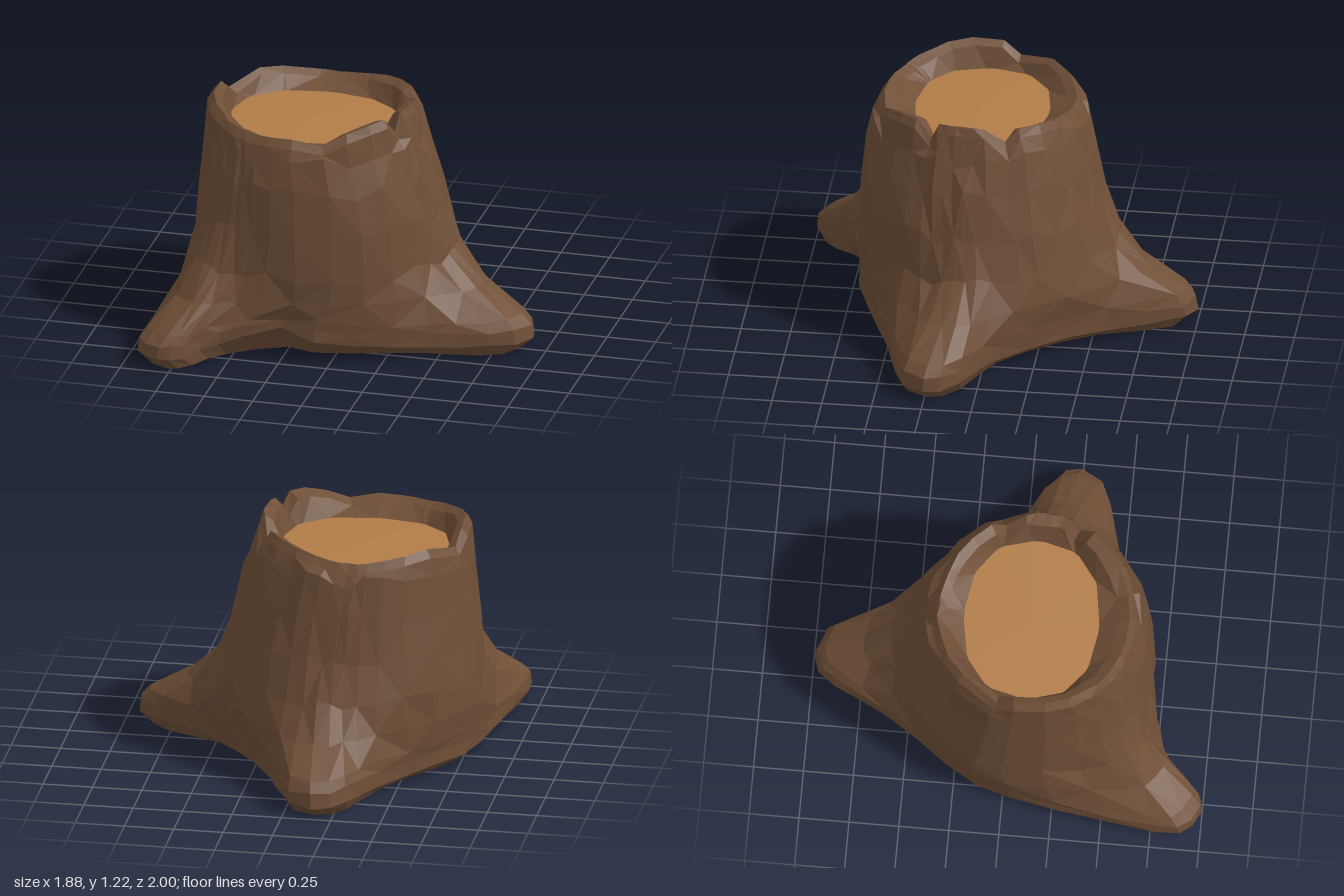
import * as THREE from 'three';

// Ground outline with three roots, [x, z], starting at the back root tip
const FOOT = [
  [-0.15, -1], [-0.03, -0.95], [0.06, -0.76], [0.14, -0.58], [0.26, -0.4], [0.4, -0.22], [0.53, -0.08],
  [0.66, 0], [0.82, 0.08], [0.92, 0.17], [0.935, 0.25], [0.87, 0.36], [0.75, 0.41], [0.6, 0.45],
  [0.45, 0.49], [0.28, 0.56], [0.1, 0.63], [-0.08, 0.7], [-0.25, 0.69], [-0.43, 0.75], [-0.55, 0.79],
  [-0.63, 0.85], [-0.69, 0.94], [-0.75, 0.99], [-0.81, 1], [-0.89, 0.96], [-0.935, 0.9], [-0.94, 0.78],
  [-0.91, 0.55], [-0.87, 0.28], [-0.82, 0.04], [-0.77, -0.13], [-0.67, -0.3], [-0.55, -0.45],
  [-0.43, -0.63], [-0.36, -0.77], [-0.31, -0.88], [-0.24, -0.97],
];
const N = FOOT.length, CX = -0.24, CZ = 0.12;

// Trunk rings: [y, xMin, xMax, zMin, zMax, pull towards the ground outline, extra pull at the front root]
const TRUNK = [
  [0.13, -0.86, 0.55, -0.62, 0.73, 0.97, 0],
  [0.18, -0.86, 0.54, -0.62, 0.73, 0.86, 0],
  [0.3, -0.85, 0.51, -0.6, 0.72, 0.39, 0.1],
  [0.45, -0.83, 0.47, -0.58, 0.71, 0.08, 0.17],
  [0.66, -0.815, 0.44, -0.525, 0.7, 0, 0.08],
  [0.88, -0.79, 0.385, -0.475, 0.68, 0, 0.02],
  [1.05, -0.775, 0.33, -0.435, 0.645, 0, 0],
];
// Splits in the rim: [angle, depth]
const SPLITS = [[0.4, 0.09], [-0.4, 0.07], [-2.82, 0.06], [1.25, 0.03]];

let seed = 7;
const jitter = (amount) => {
  seed = (seed * 16807) % 2147483647;
  return (seed / 2147483647 - 0.5) * 2 * amount;
};
const bump = (a, centre, width) => Math.exp(-(((a - centre) / width) ** 2));

// Columns of the skin: foot point, evened-out trunk angle, root reach and rim split
function makeColumns() {
  const turn = (d) => Math.atan2(Math.sin(d), Math.cos(d));
  let angles = FOOT.map(([x, z]) => Math.atan2(z - CZ, x - CX));
  for (let pass = 0; pass < 4; pass++) {
    angles = angles.map((a, i) => turn(a + (turn(angles[(i + 1) % N] - a) + turn(angles[(i + N - 1) % N] - a)) / 4));
  }
  const cols = FOOT.map(([x, z], i) => ({
    x, z, a: angles[i], split: 0,
    reach: THREE.MathUtils.clamp((Math.hypot(x - CX, z - CZ) - 0.65) / 0.35, 0, 1),
  }));
  for (const [a, depth] of SPLITS) {
    const near = cols.reduce((p, q) => (Math.abs(turn(q.a - a)) < Math.abs(turn(p.a - a)) ? q : p));
    near.a = a;
    near.split = depth;
  }
  return cols;
}
const COLS = makeColumns();

// Point on an oval given by its limits; power below 1 makes it squarer
function oval(a, x0, x1, z0, z1, power = 1) {
  const soft = (v) => Math.sign(v) * Math.abs(v) ** power;
  return [
    (x0 + x1) / 2 + ((x1 - x0) / 2) * soft(Math.cos(a)),
    (z0 + z1) / 2 + ((z1 - z0) / 2) * soft(Math.sin(a)),
  ];
}

const rimHeight = ({ a, split }) =>
  1.174 + 0.034 * Math.cos(2 * a) + 0.006 * Math.cos(a) + 0.007 * Math.sin(5 * a) + 0.03 * bump(a, 0.8, 0.3) - split;

// Joins closed rings into a skin; optional centre points close the first and last ring
function skin(rings, bottom, top) {
  const pos = rings.flat(2), index = [];
  for (let j = 0; j < rings.length - 1; j++) {
    for (let i = 0; i < N; i++) {
      const k = (i + 1) % N;
      const a = j * N + i, b = j * N + k, c = a + N, d = b + N;
      if ((i + j) % 2) index.push(a, c, b, b, c, d);
      else index.push(a, c, d, a, d, b);
    }
  }
  const close = (centre, start, up) => {
    const m = pos.length / 3;
    pos.push(...centre);
    for (let i = 0; i < N; i++) {
      const p = start + i, q = start + ((i + 1) % N);
      index.push(m, up ? q : p, up ? p : q);
    }
  };
  if (bottom) close(bottom, 0, false);
  if (top) close(top, (rings.length - 1) * N, true);
  const g = new THREE.BufferGeometry();
  g.setAttribute('position', new THREE.Float32BufferAttribute(pos, 3));
  g.setIndex(index);
  const flat = g.toNonIndexed();
  flat.computeVertexNormals();
  return flat;
}

export function createModel() {
  const bark = new THREE.MeshStandardMaterial({ color: 0x6f4f37, flatShading: true });
  const wood = new THREE.MeshStandardMaterial({ color: 0xb27c48, flatShading: true });
  const rings = [];

  // Tucked-in underside, then the widest line, arching up between the front roots
  const arch = (c) => 0.11 * bump(c.a, 1.6, c.a < 1.6 ? 0.45 : 0.25);
  rings.push(COLS.map((c) => {
    const s = 0.92 + 0.02 * c.reach - 1.2 * arch(c);
    return [CX + (c.x - CX) * s, 0.02 * (1 - c.reach), CZ + (c.z - CZ) * s];
  }));
  rings.push(COLS.map((c) => [c.x, 0.06 + arch(c) + jitter(0.01), c.z]));

  // Root flare and trunk
  for (const [y, x0, x1, z0, z1, pull, extra] of TRUNK) {
    rings.push(COLS.map((c) => {
      const [x, z] = oval(c.a, x0, x1, z0, z1);
      const t = pull + extra * bump(c.a, 2.3, 0.4);
      const rise = y < 0.25 ? arch(c) * 0.7 : 0;
      return [
        THREE.MathUtils.lerp(x, c.x, t) + jitter(0.005),
        y + rise + jitter(y > 0.4 ? 0.04 : 0.01),
        THREE.MathUtils.lerp(z, c.z, t) + jitter(0.005),
      ];
    }));
  }

  // Broken rim, rolling over to the inside
  const rim = [
    [-0.765, 0.3, -0.4, 0.62, -0.04],
    [-0.735, 0.275, -0.37, 0.59, 0],
    [-0.695, 0.225, -0.325, 0.53, -0.025],
  ];
  for (const [x0, x1, z0, z1, dy] of rim) {
    rings.push(COLS.map((c) => {
      const [x, z] = oval(c.a, x0, x1, z0, z1);
      return [x + jitter(0.006), rimHeight(c) + dy, z + jitter(0.006)];
    }));
  }
  const cutEdge = COLS.map((c) => {
    const facet = Math.round(c.a / (Math.PI / 6)) * (Math.PI / 6);
    const [x, z] = oval(THREE.MathUtils.lerp(c.a, facet, 0.7), -0.655, 0.18, -0.24, 0.435, 0.85);
    return [x, 1.07, z];
  });
  rings.push(cutEdge);

  const barkMesh = new THREE.Mesh(skin(rings, [-0.2, 0.02, 0.12]), bark);
  barkMesh.name = 'barkAndRoots';

  // Cut wood inside the rim
  const cutMesh = new THREE.Mesh(skin([cutEdge], null, [CX, 1.075, 0.1]), wood);
  cutMesh.name = 'cutWood';

  const group = new THREE.Group();
  group.name = 'treeStump';
  group.add(barkMesh, cutMesh);
  return group;
}
